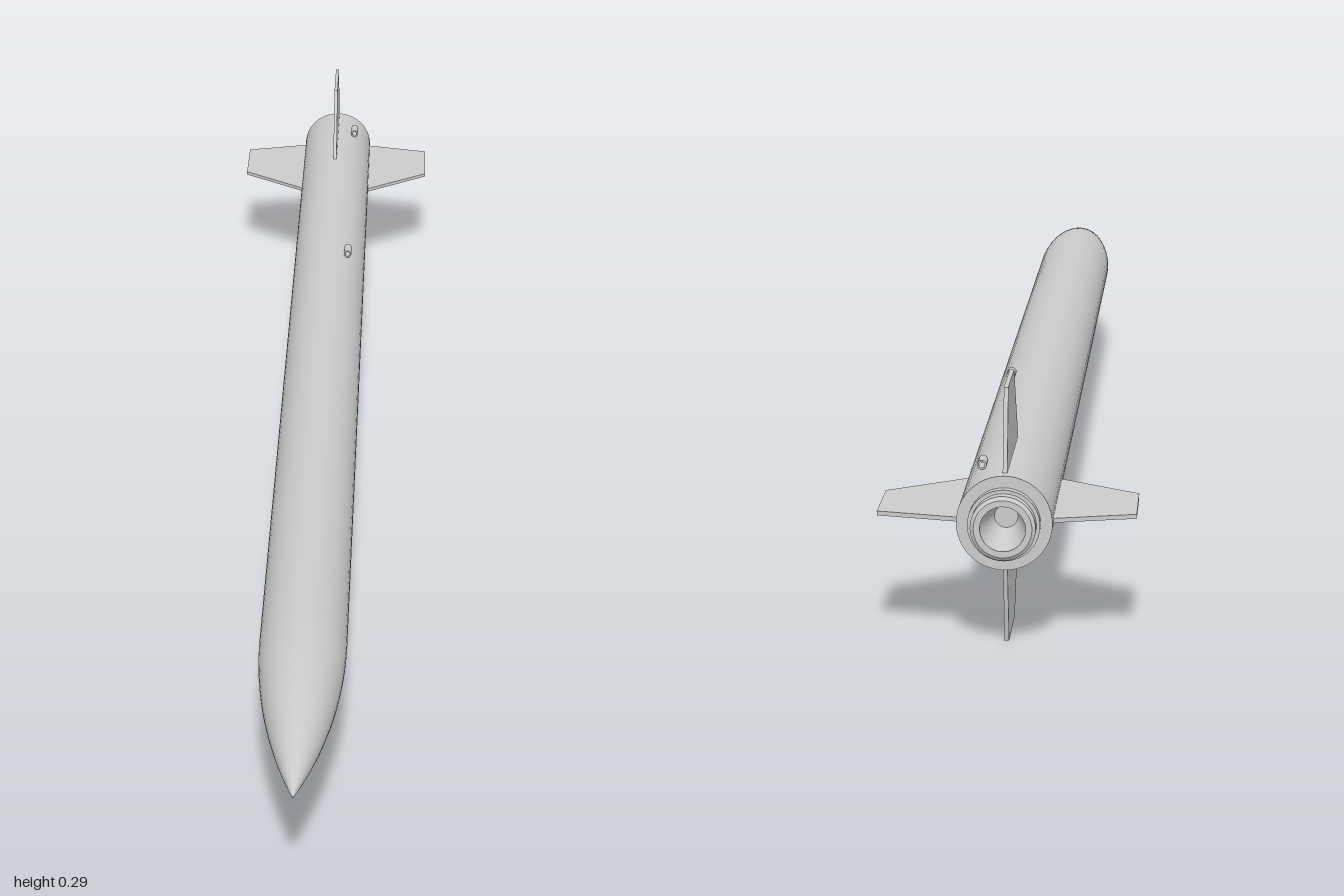
import * as THREE from 'three';

const AXIS_Y = 0.144;   // height of the body axis
const R = 0.053;        // body radius
const TAIL = -0.973;    // rear end of the tube
const SHOULDER = 0.66;  // where the nose begins

const material = new THREE.MeshStandardMaterial({ color: 0xcccccc });

// Revolve a [radius, z] profile, listed tail to nose, around the z axis
function revolve(profile, segments = 48) {
  const points = profile.map(([r, z]) => new THREE.Vector2(r, z));
  return new THREE.LatheGeometry(points, segments).rotateX(Math.PI / 2);
}

function add(parent, name, geometry) {
  const mesh = new THREE.Mesh(geometry, material);
  mesh.name = name;
  parent.add(mesh);
  return mesh;
}

// A turned part with sharp edges: one smooth band per profile step
function addTurned(parent, name, profile, segments) {
  const part = new THREE.Group();
  part.name = name;
  for (let i = 0; i < profile.length - 1; i++) {
    add(part, `${name}Band${i + 1}`, revolve([profile[i], profile[i + 1]], segments));
  }
  parent.add(part);
  return part;
}

export function createModel() {
  const model = new THREE.Group();
  model.name = 'rocket';
  const rocket = new THREE.Group();
  rocket.name = 'airframe';
  rocket.position.y = AXIS_Y;
  model.add(rocket);

  // Body tube with flat rear bulkhead
  addTurned(rocket, 'bodyTube', [[0.03, TAIL], [R, TAIL], [R, SHOULDER]]);

  // Tangent ogive nose
  const length = 1 - SHOULDER;
  const rho = (R * R + length * length) / (2 * R);
  const ogive = [];
  for (let i = 0; i <= 24; i++) {
    const s = length * i / 24;
    ogive.push([Math.max(0, Math.sqrt(rho * rho - s * s) + R - rho), SHOULDER + s]);
  }
  add(rocket, 'noseCone', revolve(ogive));

  // Motor retainer: stepped ring around a tapering exhaust cavity
  addTurned(rocket, 'motorRetainer', [
    [0, -0.94], [0.013, -0.94], [0.025, -0.995], [0.025, -1], [0.032, -1],
    [0.036, -0.997], [0.036, -0.984], [0.04, -0.984], [0.04, TAIL],
  ]);

  // Four clipped trapezoid fins
  const thickness = 0.005;
  const outline = new THREE.Shape([
    [0.045, -0.958], [R, -0.958], [0.144, -0.935], [0.144, -0.838], [R, -0.772], [0.045, -0.772],
  ].map(([r, z]) => new THREE.Vector2(r, z)));
  const finGeometry = new THREE.ExtrudeGeometry(outline, { depth: thickness, bevelEnabled: false })
    .translate(0, 0, -thickness / 2)
    .rotateX(Math.PI / 2);
  ['leftFin', 'topFin', 'rightFin', 'bottomFin'].forEach((name, i) => {
    add(rocket, name, finGeometry).rotation.z = i * Math.PI / 2;
  });

  // Two hollow launch lugs beside the top fin
  [['frontLug', -0.41], ['rearLug', -0.9]].forEach(([name, z]) => {
    const h = 0.013;
    const lug = addTurned(rocket, name,
      [[0.0035, h], [0.0035, -h], [0.0055, -h], [0.0055, h], [0.0035, h]], 16);
    lug.position.set(0.029, 0.051, z);
  });

  return model;
}
